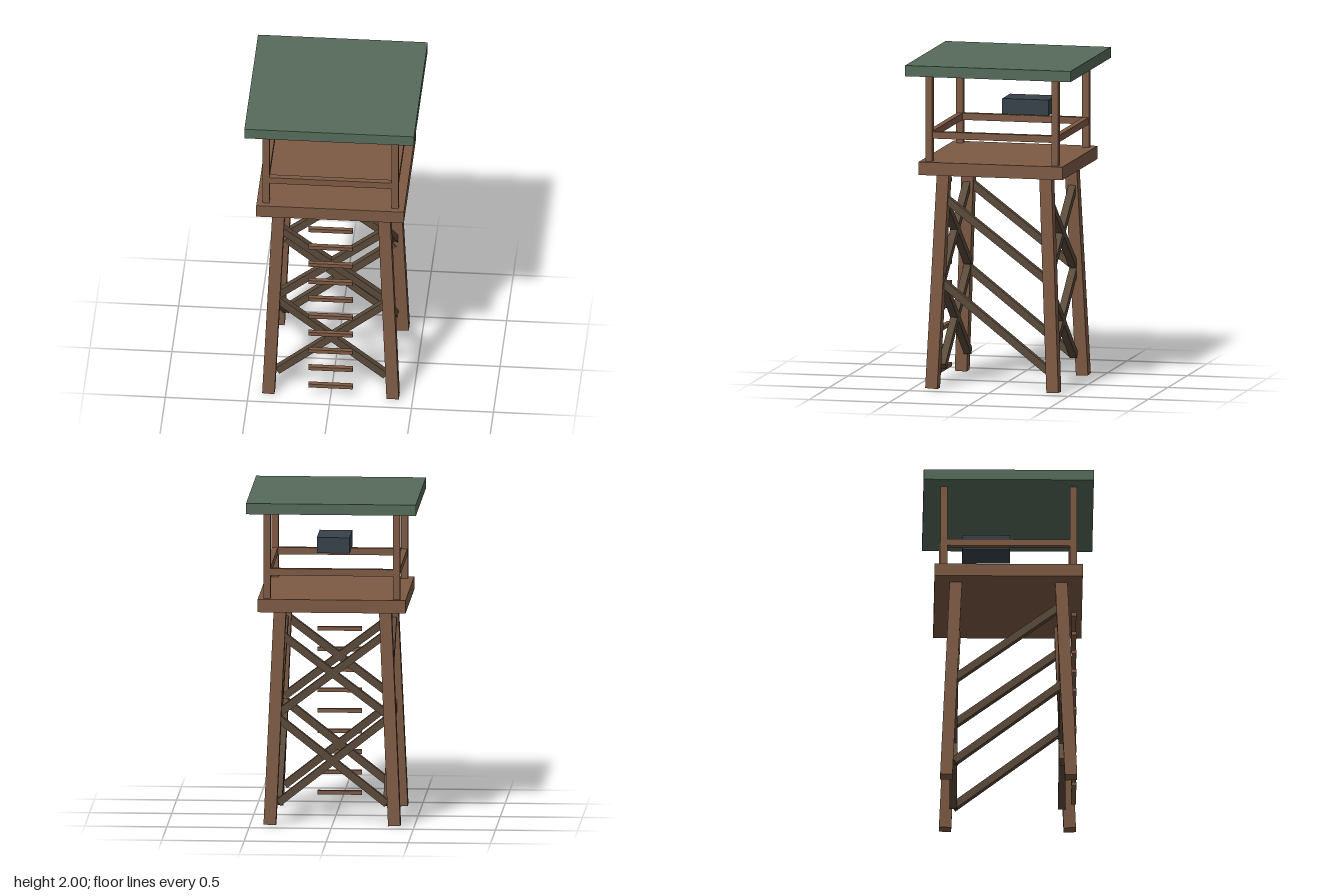
import * as THREE from 'three';

const material = (color) => new THREE.MeshStandardMaterial({ color, flatShading: true });

export function createModel() {
  const tower = new THREE.Group();
  tower.name = 'watchtower';
  const wood = material(0x7d5a44);
  const darkWood = material(0x5a4a3a);
  const roofGreen = material(0x566b5a);
  const slate = material(0x38424a);

  const box = (name, mat, w, h, d, x, y, z) => {
    const mesh = new THREE.Mesh(new THREE.BoxGeometry(w, h, d), mat);
    mesh.name = name;
    mesh.position.set(x, y, z);
    tower.add(mesh);
    return mesh;
  };

  // Square beam running between two points
  const beam = (name, mat, size, from, to) => {
    const a = new THREE.Vector3(...from);
    const b = new THREE.Vector3(...to);
    const dir = b.clone().sub(a);
    const mid = a.clone().add(b).multiplyScalar(0.5);
    const mesh = box(name, mat, size, dir.length(), size, mid.x, mid.y, mid.z);
    mesh.quaternion.setFromUnitVectors(new THREE.Vector3(0, 1, 0), dir.normalize());
    return mesh;
  };

  // Splayed legs and upright roof posts at each corner
  for (const sx of [-1, 1]) {
    for (const sz of [-1, 1]) {
      beam('leg', wood, 0.075,
        [sx * 0.379, 0.004, sz * 0.379], [sx * 0.32, 1.33, sz * 0.32]);
      box('roofPost', wood, 0.042, 0.54, 0.042, sx * 0.394, 1.665, sz * 0.394);
    }
  }

  // Two tiers of bracing: crossed front and back, single diagonals on the sides
  const r = 0.33;
  for (const [low, high] of [[0.13, 0.65], [0.68, 1.18]]) {
    for (const s of [-1, 1]) {
      beam('crossBrace', darkWood, 0.045, [-r, low, s * r], [r, high, s * r]);
      beam('crossBrace', darkWood, 0.045, [r, low, s * r], [-r, high, s * r]);
      beam('sideBrace', darkWood, 0.045, [s * r, low, -r], [s * r, high, r]);
    }
  }

  // Ladder rungs on the front
  for (let i = 0; i < 10; i++) {
    box('ladderRung', wood, 0.27, 0.024, 0.03, 0, 0.075 + i * 0.1262, 0.399);
  }

  // Platform, guard rails and flat roof
  box('platform', wood, 0.9, 0.08, 0.9, 0, 1.36, 0);
  for (const s of [-1, 1]) {
    box('guardRail', wood, 0.79, 0.042, 0.036, 0, 1.562, s * 0.394);
    box('guardRail', wood, 0.036, 0.042, 0.79, s * 0.394, 1.562, 0);
  }
  box('roof', roofGreen, 1.034, 0.066, 1.034, 0, 1.967, 0);

  // Equipment box under the roof
  box('equipmentBox', slate, 0.2, 0.096, 0.29, 0, 1.707, -0.133);

  return tower;
}
